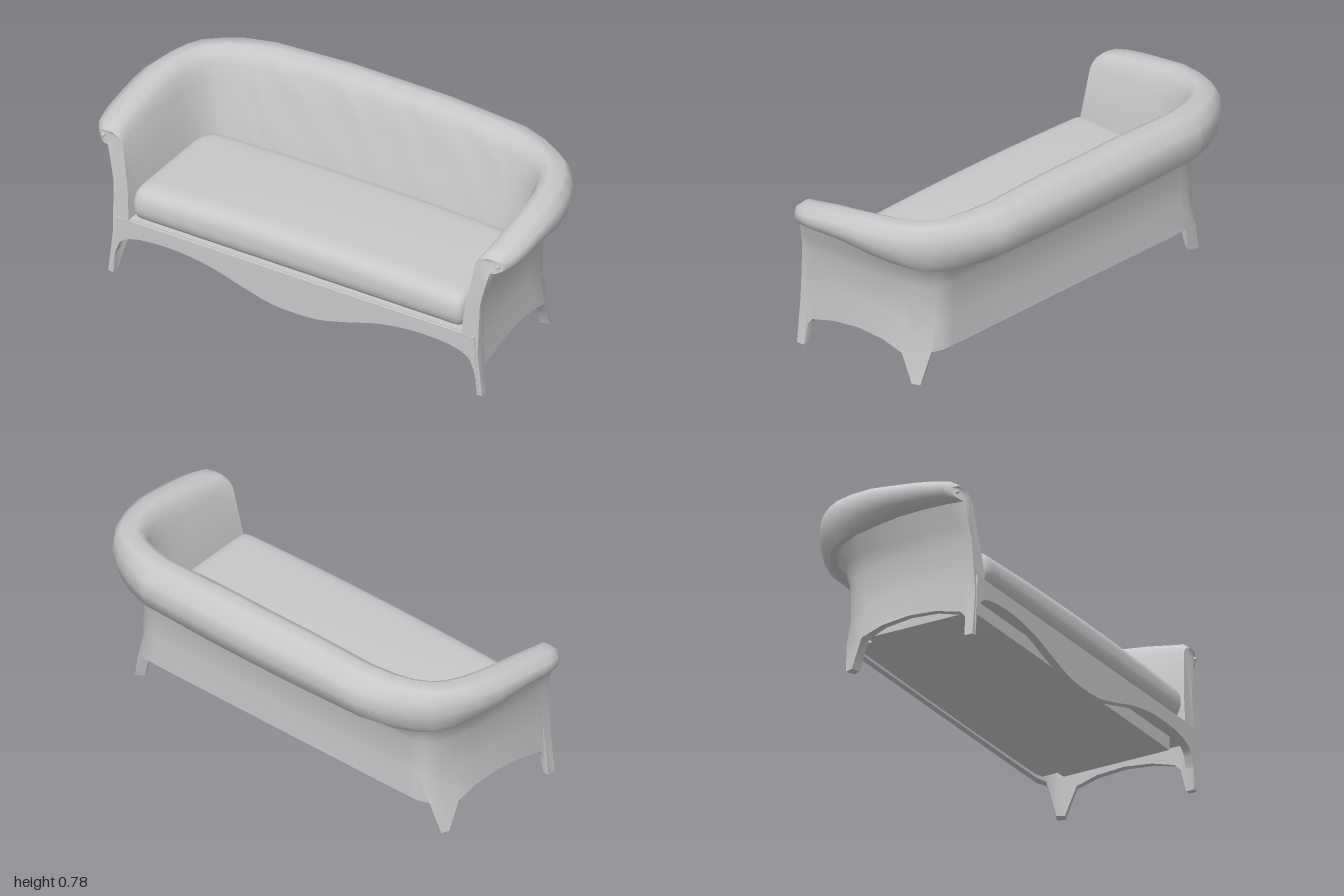
import * as THREE from 'three';
import { mergeVertices, toCreasedNormals } from 'three/addons/utils/BufferGeometryUtils.js';

const lerp = THREE.MathUtils.lerp;

// Stations from the front of an arm to the middle of the back:
// wall x,z | roll outer x,z | inner x,z | bottom, roll bottom, roll top heights | wall tuck
const stations = [
  [0.868, 0.445, 0.965, 0.388, 0.79, 0.447, 0, 0.59, 0.652, 0],
  [0.868, 0.408, 0.985, 0.36, 0.788, 0.41, 0, 0.586, 0.675, 0],
  [0.867, 0.4, 0.995, 0.31, 0.786, 0.38, 0.092, 0.587, 0.682, 0],
  [0.866, 0.378, 1, 0.26, 0.784, 0.34, 0.12, 0.588, 0.692, 0],
  [0.865, 0.26, 1, 0.18, 0.78, 0.25, 0.152, 0.59, 0.708, 0],
  [0.86, 0.13, 1, 0.09, 0.772, 0.13, 0.165, 0.588, 0.722, 0.005],
  [0.855, 0, 0.995, 0, 0.765, 0.02, 0.155, 0.575, 0.737, 0.01],
  [0.85, -0.1, 0.97, -0.105, 0.752, -0.05, 0.125, 0.565, 0.743, 0.02],
  [0.845, -0.15, 0.925, -0.208, 0.73, -0.1, 0, 0.553, 0.748, 0.035],
  [0.832, -0.185, 0.872, -0.278, 0.71, -0.125, 0, 0.545, 0.752, 0.04],
  [0.79, -0.207, 0.795, -0.335, 0.67, -0.145, 0.142, 0.54, 0.756, 0.03],
  [0.74, -0.228, 0.69, -0.39, 0.61, -0.15, 0.143, 0.54, 0.761, 0.01],
  [0.58, -0.232, 0.58, -0.432, 0.5, -0.152, 0.145, 0.54, 0.768, 0],
  [0.25, -0.235, 0.22, -0.448, 0.22, -0.154, 0.148, 0.54, 0.783, 0],
  [0, -0.235, 0, -0.45, 0, -0.155, 0.148, 0.54, 0.782, 0],
];

// One closed section: up the outer wall, around the roll, down the padded inside
function section(st, index) {
  const [wx, wz, ox, oz, ix, iz, bot, yb, yt, tuck] = st;
  const h = yt - yb;
  const tuft = index > 11 ? 0.03 * Math.sin(index * 2.1) : 0;
  // Wall side: 0 inner face, 1 wall, 2 outermost roll; last value is the share of tuck
  const outer = [
    [1, bot, 0], [0.95, lerp(bot, 0.43, 0.45), 0.8], [1, 0.43, 1], [1.15, 0.5, 0.7],
    [1.38, yb + 0.01 * h, 0.2], [1.6, yb, 0], [1.85, yb + 0.17 * h, 0], [2, yb + 0.5 * h, 0],
    [1.93, yb + 0.76 * h, 0], [1.65, yb + 0.95 * h, 0],
  ].map(([s, y, w]) => (s > 1
    ? [lerp(wx, ox, s - 1) - tuck * w, y, lerp(wz, oz, s - 1)]
    : [lerp(ix, wx, s) - tuck * w, y, lerp(iz, wz, s)]));
  // Seat side: 0 inner face, 1 outermost roll
  const inner = [
    [0.57, yt], [0.43, yb + 0.92 * h], [0.34 + tuft, yb + 0.7 * h], [0.25 - tuft, yb + 0.35 * h],
    [0.13 + tuft, 0.48], [0.05, 0.4], [0, 0.3], [0, 0.22],
  ].map(([t, y]) => [lerp(ix, ox, t), y, lerp(iz, oz, t)]);
  // Hollow underside
  const under = [Math.max(bot, 0.2), bot]
    .map(y => [lerp(ix, wx, 0.68), y, lerp(iz, wz, 0.68)]);

  return [...outer, ...inner, ...under].map(([x, y, z]) => {
    const flare = index < 2 && y < 0.05 ? 0.018 : 0; // front feet splay out
    // Arm fronts lean back as they rise
    const limit = 0.447 - 0.1 * Math.max(0, y - 0.28) - 0.02 * index;
    return [x + flare, y, index < 2 ? Math.min(z, limit) : z];
  });
}

function bodyGeometry() {
  // Subdivide the back for the padding
  const half = [];
  stations.forEach((st, i) => {
    const prev = stations[i - 1];
    const n = i > 11 ? 3 : 1;
    for (let k = 1; k <= n; k++) {
      half.push(n === 1 ? st : st.map((v, j) => lerp(prev[j], v, k / n)));
    }
  });
  const rings = half.map(section);
  const mirrored = rings.slice(0, -1).reverse()
    .map(r => r.map(([x, y, z]) => [-x, y, z]));
  const all = [...rings, ...mirrored];
  const n = all[0].length;
  const index = [];
  for (let i = 0; i < all.length - 1; i++) {
    for (let j = 0; j < n; j++) {
      const k = (j + 1) % n;
      const a = i * n + j, b = (i + 1) * n + j, c = (i + 1) * n + k, d = i * n + k;
      index.push(a, b, d, b, c, d);
    }
  }
  // Arm front faces
  const outline = all[0].map(([x, y]) => new THREE.Vector2(x, y));
  const last = (all.length - 1) * n;
  for (const [a, b, c] of THREE.ShapeUtils.triangulateShape(outline, [])) {
    index.push(a, b, c, last + a, last + c, last + b);
  }
  const g = new THREE.BufferGeometry();
  g.setAttribute('position', new THREE.Float32BufferAttribute(all.flat(2), 3));
  g.setIndex(index);
  return toCreasedNormals(g, 0.95);
}

// Rounded, domed seat cushion with rounded rear corners
function cushionGeometry() {
  const g = new THREE.BoxGeometry(2, 2, 2, 32, 12, 20);
  g.deleteAttribute('normal');
  g.deleteAttribute('uv');
  const p = g.attributes.position;
  const size = new THREE.Vector3(0.792, 0.08, 0.288);
  const radius = new THREE.Vector3(0.045, 0.076, 0.075);
  const limit = size.clone().sub(radius), low = limit.clone().negate();
  const v = new THREE.Vector3(), core = new THREE.Vector3();
  for (let i = 0; i < p.count; i++) {
    v.fromBufferAttribute(p, i);
    v.set(...v.toArray().map(u => Math.sin(u * Math.PI / 2))).multiply(size);
    core.copy(v).clamp(low, limit);
    v.sub(core).divide(radius).normalize().multiply(radius).add(core);
    const fx = v.x / size.x, fz = v.z / size.z;
    if (v.y > 0) v.y += 0.027 * (1 - fx * fx) * (1 - 0.4 * fz * fz);
    const rear = Math.max(0, -fz - 0.5) * 2;
    v.x *= 1 - 0.016 * (1 - fz) - 0.06 * rear * rear;
    p.setXYZ(i, v.x, v.y + 0.35, v.z + 0.158);
  }
  const m = mergeVertices(g, 1e-5);
  m.computeVertexNormals();
  return m;
}

// Front rail with a wavy lower edge running into the legs
function apronGeometry() {
  const lower = [[0.868, 0.02], [0.845, 0.12], [0.81, 0.175], [0.72, 0.203], [0.56, 0.208],
    [0.4, 0.186], [0.25, 0.142], [0.12, 0.108], [0, 0.1]];
  const edge = [...lower, ...lower.slice(0, -1).reverse().map(([x, y]) => [-x, y])]
    .map(([x, y]) => new THREE.Vector2(x, y));
  const s = new THREE.Shape();
  s.moveTo(-0.85, 0.275);
  s.lineTo(0.85, 0.275);
  s.lineTo(edge[0].x, edge[0].y);
  s.splineThru(edge.slice(1));
  s.closePath();
  const g = new THREE.ExtrudeGeometry(s, { depth: 0.035, bevelEnabled: false, curveSegments: 40 });
  g.translate(0, 0, 0.413);
  return g;
}

export function createModel() {
  const group = new THREE.Group();
  const grey = new THREE.MeshStandardMaterial({ color: 0xc8c8c8, side: THREE.DoubleSide });
  grey.name = 'light grey';

  const add = (name, geometry, x = 0, y = 0, z = 0) => {
    const mesh = new THREE.Mesh(geometry, grey);
    mesh.name = name;
    mesh.position.set(x, y, z);
    group.add(mesh);
  };

  add('backArmsAndLegs', bodyGeometry());
  add('seatCushion', cushionGeometry());
  add('frontApron', apronGeometry());

  // Seat base, closed underneath
  add('seatBase', new THREE.BoxGeometry(1.55, 0.122, 0.5), 0, 0.219, 0.13);
  add('seatBaseRear', new THREE.BoxGeometry(1.46, 0.122, 0.1), 0, 0.219, -0.17);
  add('seatRail', new THREE.BoxGeometry(1.58, 0.06, 0.08), 0, 0.248, 0.395);

  // Small buttons on the arm ends
  for (const side of [1, -1]) {
    add('armButton', new THREE.SphereGeometry(0.009, 12, 8), side * 0.935, 0.622, 0.404);
  }
  return group;
}
